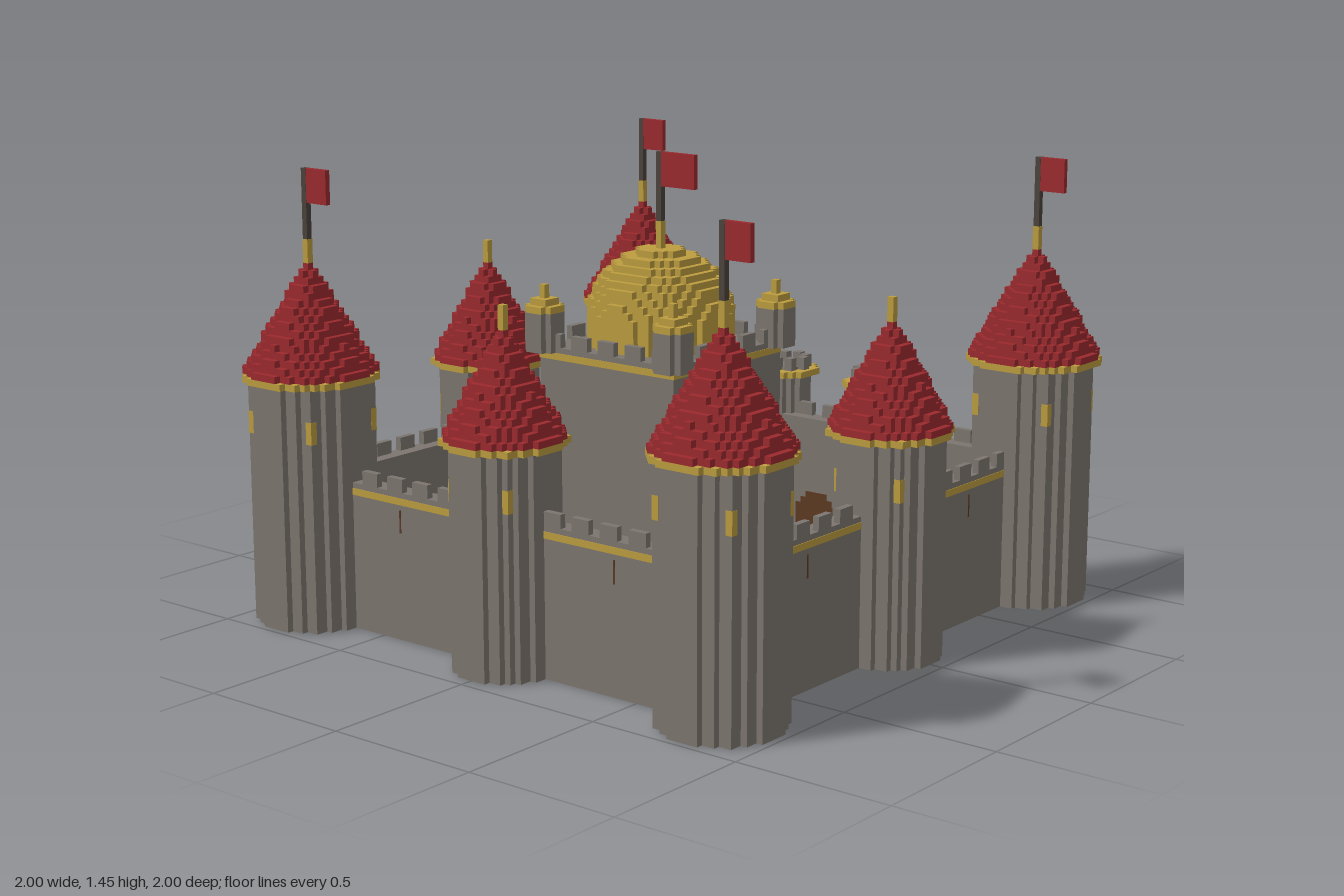
import * as THREE from 'three';
import { mergeGeometries } from 'three/addons/utils/BufferGeometryUtils.js';

const U = 2 / 95; // one block

const mat = (name, color) => {
  const m = new THREE.MeshStandardMaterial({ color });
  m.name = name;
  return m;
};

export function createModel() {
  const stone = mat('stone', 0x7d766f);
  const red = mat('red', 0x9c2a2e);
  const gold = mat('gold', 0xbd9d3f);
  const grass = mat('grass', 0x578748);
  const wood = mat('wood', 0x5c3a22);
  const iron = mat('iron', 0x4c433c);

  // box from min/max corners, in blocks
  const box = (x0, x1, y0, y1, z0, z1) =>
    new THREE.BoxGeometry((x1 - x0) * U, (y1 - y0) * U, (z1 - z0) * U)
      .translate((x0 + x1) / 2 * U, (y0 + y1) / 2 * U, (z0 + z1) / 2 * U);

  // blocky disc: one box per row
  const disc = (r, y0, y1) => {
    const rows = [];
    for (let z = -Math.floor(r); z <= r; z++) {
      const w = Math.floor(Math.sqrt(r * r - z * z)) + 0.5;
      rows.push(box(-w, w, y0, y1, z - 0.5, z + 0.5));
    }
    return rows;
  };

  const add = (parent, name, material, boxes) => {
    const m = new THREE.Mesh(mergeGeometries(boxes), material);
    m.name = name;
    parent.add(m);
    return m;
  };

  const group = (parent, name, x = 0, z = 0) => {
    const g = new THREE.Group();
    g.name = name;
    g.position.set(x * U, 0, z * U);
    parent.add(g);
    return g;
  };

  const flag = (parent, y0, y1, length) => {
    add(parent, 'flagPole', iron, [box(-0.45, 0.45, y0, y1, -0.45, 0.45)]);
    add(parent, 'flag', red, [box(0.45, length + 0.5, y1 - 5, y1, -0.4, 0.4)]);
  };

  // round tower with a stepped conical roof
  const tower = (parent, name, x, z, r, h, layers, hasFlag) => {
    const g = group(parent, name, x, z);
    add(g, 'towerBody', stone, disc(r, 0, h));
    add(g, 'eaves', gold, disc(r + 1, h, h + 1));
    const cone = [];
    for (let i = 0; i < layers; i++) {
      cone.push(...disc((r + 0.75) * (1 - i / layers) + 0.1, h + 1 + i, h + 2 + i));
    }
    add(g, 'roof', red, cone);
    const top = h + 1 + layers;
    add(g, 'finial', gold, [box(-0.5, 0.5, top, top + 3.5, -0.5, 0.5)]);
    if (hasFlag) flag(g, top + 3.5, 67.1, 4);
    const d = r > 8 ? 6 : 5;
    const windows = [];
    for (const sx of [-1, 1]) for (const sz of [-1, 1]) {
      windows.push(box(sx * d - 0.55, sx * d + 0.55, h - 8, h - 4.7, sz * d - 0.55, sz * d + 0.55));
    }
    add(g, 'towerWindows', gold, windows);
  };

  // row of merlons along x on the outer edge at z
  const merlons = (half, y, z) => {
    const out = [];
    for (let x = -half; x <= half - 2; x += 5) out.push(box(x, Math.min(x + 3, half), y, y + 2, z - 1, z));
    return out;
  };

  const castle = new THREE.Group();
  castle.name = 'castle';

  // courtyard
  add(castle, 'lawn', grass, [
    box(-35.5, -12.5, 0.1, 1, -35.5, 35.5), box(12.5, 35.5, 0.1, 1, -35.5, 35.5),
    box(-12.5, 12.5, 0.1, 1, 16.5, 35.5),
    box(-12.5, -4.5, 0.1, 1, -35.5, -8.5), box(4.5, 12.5, 0.1, 1, -35.5, -8.5),
  ]);
  add(castle, 'path', stone, [box(-4.5, 4.5, 0, 1, -35.5, -8.5)]);

  // four curtain walls
  for (let i = 0; i < 4; i++) {
    const g = group(castle, 'curtainWall');
    g.rotation.y = i * Math.PI / 2;
    add(g, 'wall', stone, [box(-38.5, 38.5, 0, 22, 35.5, 38.5), ...merlons(37.5, 22, 38.5)]);
    add(g, 'wallTrim', gold, [box(-36, 36, 20.2, 21.2, 38, 38.6)]);
    add(g, 'arrowSlits', wood, [-20, 20].map(x => box(x - 0.15, x + 0.15, 16, 19.4, 38.4, 38.55)));
  }

  // towers
  for (const x of [-38, 38]) {
    for (const z of [-38, 38]) tower(castle, 'cornerTower', x, z, 8.5, 36.3, 16, true);
    tower(castle, 'sideTower', x, 0, 7.5, 32.2, 15, false);
  }
  tower(castle, 'frontTower', 0, 38, 7.5, 32.2, 15, false);

  // gate in the back wall
  const gate = group(castle, 'gate');
  add(gate, 'gateDoor', wood, [
    box(-4, 4, 0, 8, -38.7, -35.3), box(-3, 3, 8, 9, -38.7, -35.3), box(-2, 2, 9, 10, -38.7, -35.3),
  ]);
  add(gate, 'gateLintel', gold, [box(-5, 5, 11, 12, -39.5, -38.4)]);
  for (const s of [-1, 1]) {
    const t = group(gate, 'gateTurret', s * 8.5, -39);
    add(t, 'turretBody', stone, disc(3.5, 0, 28));
    add(t, 'turretRing', gold, disc(4.5, 28, 29));
    const crown = disc(2.9, 29, 29.4);
    for (let i = 0; i < 8; i++) {
      const a = i * Math.PI / 4;
      const x = Math.round(3.4 * Math.cos(a)), z = Math.round(3.4 * Math.sin(a));
      crown.push(box(x - 0.7, x + 0.7, 29, 31, z - 0.7, z + 0.7));
    }
    add(t, 'turretCrown', stone, crown);
    add(gate, 'banner', red, [box(s * 14.5 - 2.5, s * 14.5 + 2.5, 8, 17, -39.4, -38.5)]);
  }

  // keep
  const keep = group(castle, 'keep', 0, 4);
  const battlements = [];
  const trim = [];
  for (let i = 0; i < 4; i++) {
    const a = i * Math.PI / 2;
    battlements.push(...merlons(11.5, 41, 12.5).map(b => b.rotateY(a)));
    trim.push(box(-12.6, 12.6, 39.2, 40.2, 12, 12.6).rotateY(a));
  }
  add(keep, 'keepBody', stone, [box(-12.5, 12.5, 0, 41, -12.5, 12.5), ...battlements]);
  add(keep, 'keepTrim', gold, trim);
  add(keep, 'keepWindows', gold, [-7.5, -2.5, 2.5, 7.5].map(x => box(x - 1, x + 1, 29, 33, -12.7, -12.4)));
  add(keep, 'keepDoor', wood, [box(-3.5, 3.5, 1, 8, -12.7, -12.4), box(-2.5, 2.5, 8, 9, -12.7, -12.4)]);

  // corner turrets of the keep
  for (const x of [-12, 12]) for (const z of [-12, 12]) {
    const t = group(keep, 'keepTurret', x, z);
    add(t, 'keepTurretBody', stone, disc(2.3, 40.2, 46));
    add(t, 'keepTurretCap', gold, [...disc(2.3, 46, 47), ...disc(1.5, 47, 48), box(-0.5, 0.5, 48, 50, -0.5, 0.5)]);
  }

  // stepped dome with flag
  const dome = [];
  for (let y = 41; y < 55; y++) {
    const h = Math.max(0, y + 0.5 - 44.5);
    dome.push(...disc(Math.sqrt(10.6 * 10.6 - h * h), y, y + 1));
  }
  add(keep, 'dome', gold, dome);
  add(keep, 'domeFinial', gold, [box(-0.5, 0.5, 55, 59, -0.5, 0.5)]);
  flag(keep, 59, 69.1, 6);

  return castle;
}
